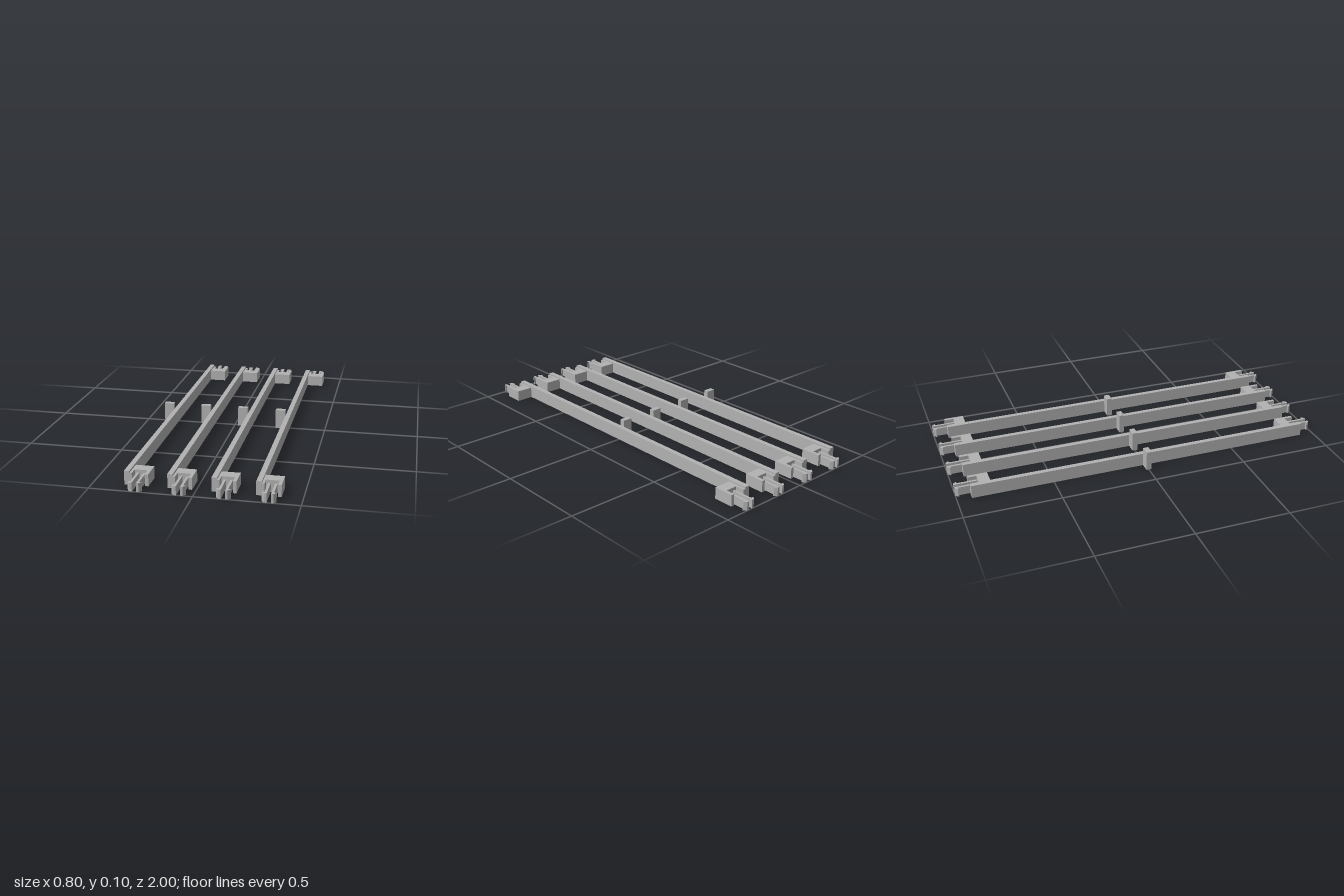
import * as THREE from 'three';

// Extrude a plan outline of [x, z] points upward from y = 0; end = 1 or -1 mirrors it in z
function planSolid(points, height, end = 1) {
  const shape = new THREE.Shape(points.map(([x, z]) => new THREE.Vector2(x, z * end)));
  const geo = new THREE.ExtrudeGeometry(shape, { depth: height, bevelEnabled: false });
  return geo.rotateX(Math.PI / 2).translate(0, height, 0);
}

export function createModel() {
  const model = new THREE.Group();
  const grey = new THREE.MeshStandardMaterial({ color: 0xb2b2b2 });

  const add = (parent, name, geo) => {
    const mesh = new THREE.Mesh(geo, grey);
    mesh.name = name;
    parent.add(mesh);
  };
  const box = (x0, x1, height, z0, z1) =>
    new THREE.BoxGeometry(x1 - x0, height, z1 - z0)
      .translate((x0 + x1) / 2, height / 2, (z0 + z1) / 2);

  // End block: U-shaped in plan, its pocket open outward
  const blockPlan = [
    [0.078, 0.82], [0.17, 0.82], [0.17, 0.925], [0.153, 0.925],
    [0.153, 0.877], [0.09, 0.877], [0.09, 0.925], [0.078, 0.925],
  ];
  // Clip prong, measured outward from the clip centre line, with a barbed tip
  const clipCentre = 0.122;
  const prongPlan = [
    [0.01, 0.87], [0.022, 0.87], [0.022, 0.982], [0.034, 0.982],
    [0.034, 0.986], [0.022, 1.0], [0.01, 1.0],
  ];

  for (let i = 0; i < 4; i++) {
    const bar = new THREE.Group();
    bar.name = `bar${i + 1}`;
    bar.position.x = -0.4 + i * 0.21;

    add(bar, 'rail', box(0.052, 0.078, 0.07, -0.925, 0.925));
    add(bar, 'sideTab', box(0, 0.052, 0.105, -0.014, 0.014));

    for (const end of [1, -1]) {
      const suffix = end > 0 ? 'Front' : 'Back';
      add(bar, 'endBlock' + suffix, planSolid(blockPlan, 0.06, end));
      for (const side of [-1, 1]) {
        const plan = prongPlan.map(([x, z]) => [clipCentre + side * x, z]);
        add(bar, (side < 0 ? 'rightProng' : 'leftProng') + suffix, planSolid(plan, 0.045, end));
      }
    }
    model.add(bar);
  }
  return model;
}
